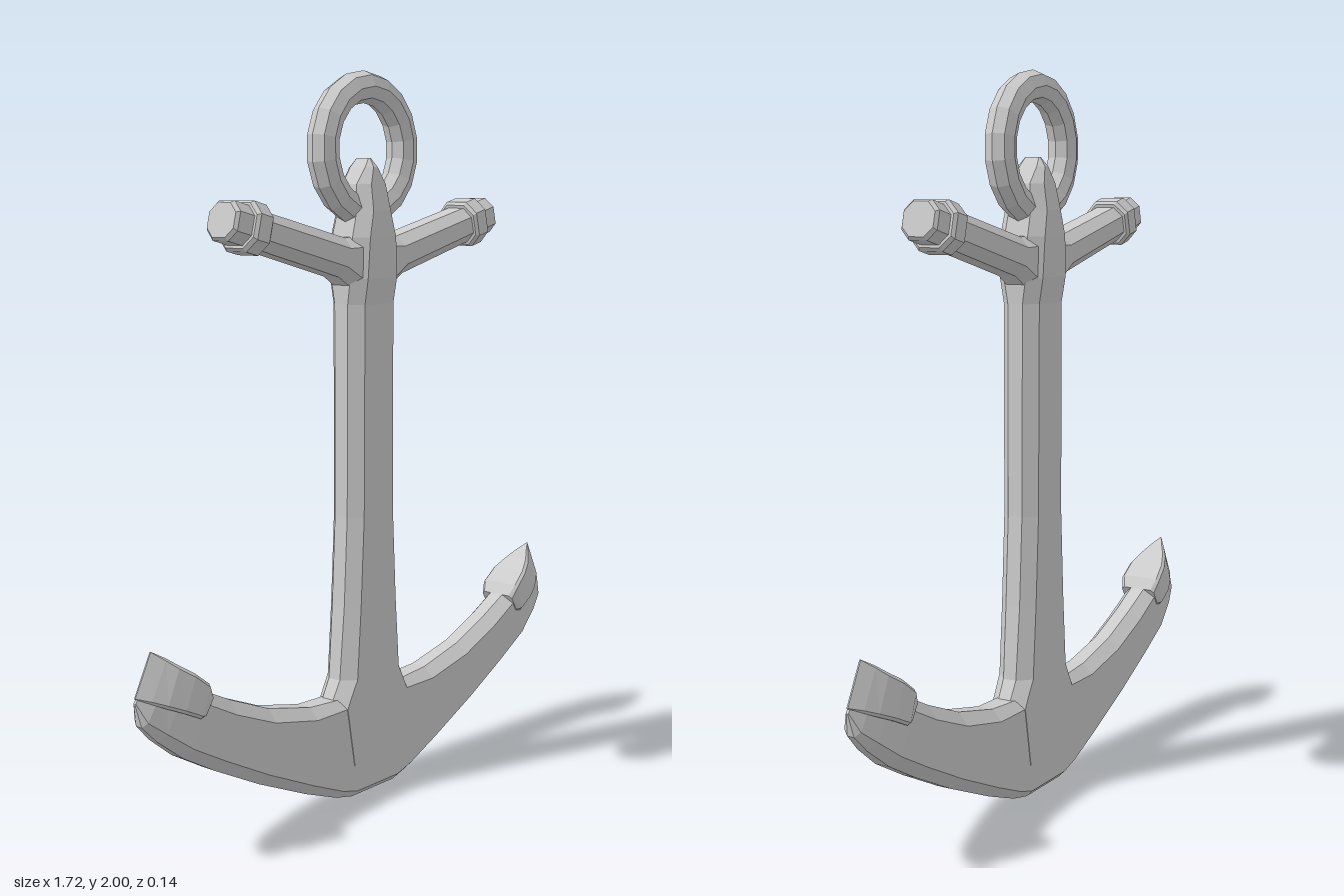
import * as THREE from 'three';

const material = new THREE.MeshStandardMaterial({ color: 0xcccccc, flatShading: true });

// Solid through chamfered sections. Each row: [px, py, qx, qy, half depth, chamfer],
// where p and q are the ends of the section in the xy plane.
function loft(name, rows) {
  const pos = [], index = [], n = 8;
  for (const [px, py, qx, qy, b, c] of rows) {
    const len = Math.hypot(qx - px, qy - py);
    const a = len / 2, k = Math.min(c, a * 0.9, b * 0.9);
    const ring = [[a, -b + k], [a, b - k], [a - k, b], [-a + k, b],
      [-a, b - k], [-a, -b + k], [-a + k, -b], [a - k, -b]];
    for (const [u, z] of ring) {
      const f = u / len + 0.5;
      pos.push(px + (qx - px) * f, py + (qy - py) * f, z);
    }
  }
  for (let s = 0; s < rows.length - 1; s++) {
    for (let i = 0; i < n; i++) {
      const a = s * n + i, b = s * n + (i + 1) % n;
      index.push(a, b, b + n, a, b + n, a + n);
    }
  }
  const last = (rows.length - 1) * n;
  for (let i = 1; i < n - 1; i++) {
    index.push(0, i + 1, i, last, last + i, last + i + 1);
  }
  let geometry = new THREE.BufferGeometry();
  geometry.setAttribute('position', new THREE.Float32BufferAttribute(pos, 3));
  geometry.setIndex(index);
  geometry = geometry.toNonIndexed();
  geometry.computeVertexNormals();
  const mesh = new THREE.Mesh(geometry, material);
  mesh.name = name;
  return mesh;
}

// Section of the sloping crossbar at distance x from the centre
function barRow(x, half, depth, chamfer) {
  const y = 1.478 + 0.25 * x, nx = -0.243 * half, ny = 0.97 * half;
  return [x - nx, y - ny, x + nx, y + ny, depth, chamfer];
}

// One half of the crossbar, arm and fluke, on the +x side
function createSide() {
  const side = new THREE.Group();
  side.add(loft('crossbar', [
    barRow(0, 0.08, 0.06, 0.03), barRow(0.07, 0.07, 0.058, 0.03),
    barRow(0.12, 0.053, 0.055, 0.028), barRow(0.44, 0.049, 0.053, 0.026),
  ]));
  side.add(loft('crossbarCollar', [
    barRow(0.424, 0.058, 0.06, 0.03), barRow(0.432, 0.065, 0.067, 0.032),
    barRow(0.474, 0.065, 0.067, 0.032), barRow(0.483, 0.058, 0.06, 0.03),
  ]));
  side.add(loft('crossbarEnd', [
    barRow(0.47, 0.051, 0.053, 0.026), barRow(0.532, 0.051, 0.053, 0.026),
    barRow(0.541, 0.044, 0.046, 0.024),
  ]));
  side.add(loft('arm', [
    [0, 0.003, 0, 0.29, 0.053, 0.02],
    [0.09, 0.003, 0.09, 0.29, 0.053, 0.02],
    [0.15, 0.015, 0.15, 0.295, 0.053, 0.025],
    [0.27, 0.06, 0.25, 0.3, 0.053, 0.03],
    [0.45, 0.14, 0.41, 0.337, 0.053, 0.032],
    [0.61, 0.222, 0.55, 0.395, 0.053, 0.032],
    [0.72, 0.285, 0.66, 0.45, 0.052, 0.03],
    [0.8, 0.348, 0.72, 0.49, 0.04, 0.025],
    [0.845, 0.395, 0.765, 0.515, 0.025, 0.015],
    [0.858, 0.455, 0.8, 0.54, 0.004, 0.002],
  ]));
  side.add(loft('fluke', [
    [0.675, 0.385, 0.64, 0.44, 0.056, 0.01],
    [0.69, 0.388, 0.66, 0.472, 0.064, 0.008],
    [0.745, 0.415, 0.705, 0.508, 0.06, 0.008],
    [0.79, 0.435, 0.745, 0.535, 0.044, 0.008],
    [0.825, 0.452, 0.772, 0.556, 0.025, 0.006],
    [0.857, 0.468, 0.803, 0.575, 0.002, 0.001],
  ]));
  return side;
}

export function createModel() {
  const model = new THREE.Group();
  model.name = 'anchor';

  // Shank with flared foot, thicker hub and pointed head: [y, half width, half depth, chamfer]
  const shank = [
    [0.1, 0.13, 0.054, 0.03], [0.27, 0.165, 0.054, 0.035], [0.3, 0.15, 0.054, 0.035],
    [0.345, 0.125, 0.055, 0.035], [0.55, 0.108, 0.055, 0.033], [0.8, 0.095, 0.055, 0.033],
    [1.38, 0.093, 0.056, 0.033], [1.45, 0.095, 0.068, 0.034], [1.56, 0.088, 0.07, 0.034],
    [1.63, 0.068, 0.066, 0.032], [1.7, 0.058, 0.053, 0.028], [1.745, 0.025, 0.043, 0.016],
    [1.77, 0.004, 0.024, 0.003],
  ];
  model.add(loft('shank', shank.map(([y, w, d, c]) => [w, y, -w, y, d, c])));

  // Ring through the head
  const ring = new THREE.Mesh(new THREE.TorusGeometry(0.165, 0.043, 8, 18).rotateZ(Math.PI / 18), material);
  ring.name = 'ring';
  ring.position.y = 1.793;
  model.add(ring);

  // The two sides match under a half turn
  for (const [name, turn] of [['leftSide', 0], ['rightSide', Math.PI]]) {
    const side = createSide();
    side.name = name;
    side.rotation.y = turn;
    model.add(side);
  }
  return model;
}
